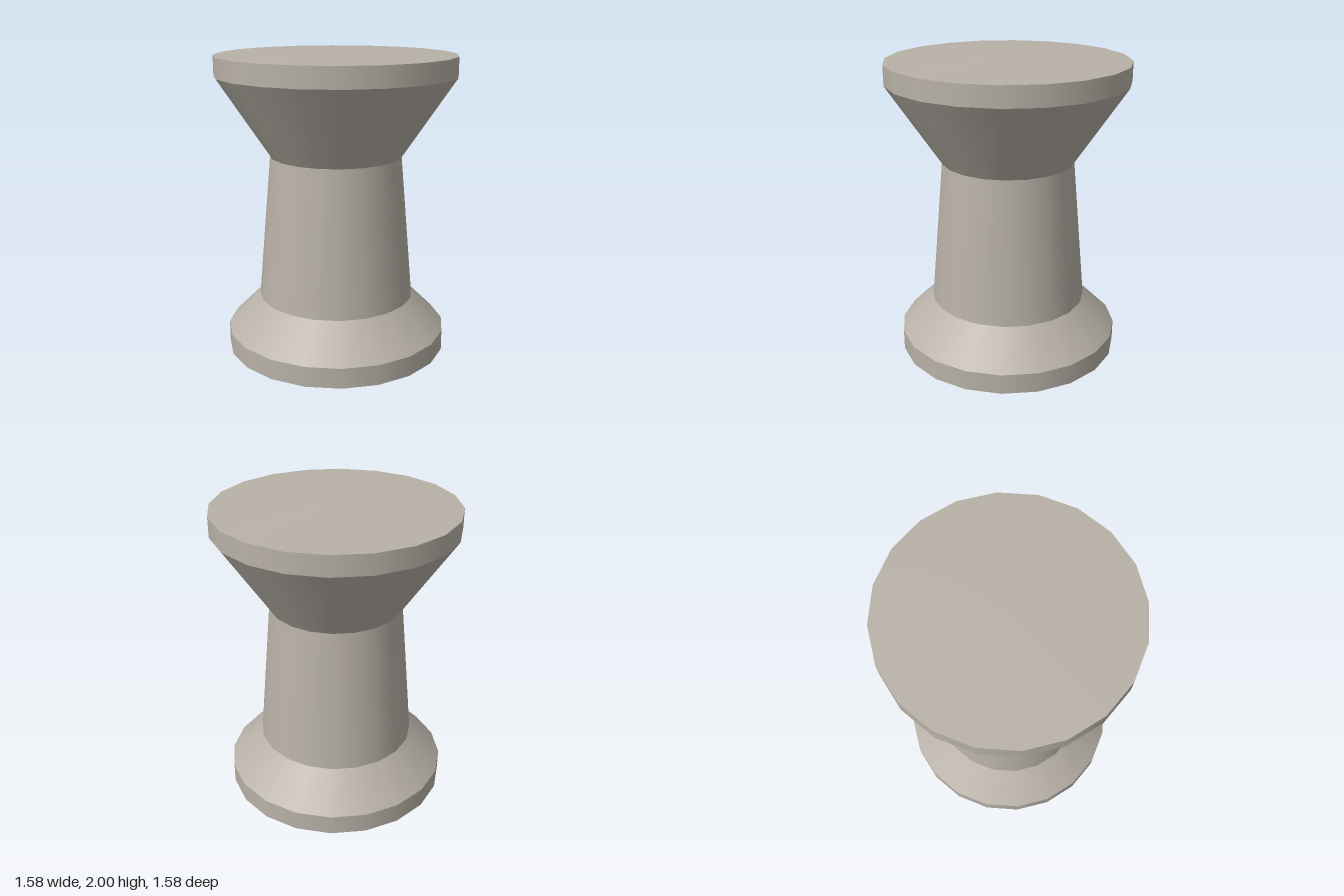
import * as THREE from 'three';

const SIDES = 20;

export function createModel() {
  const model = new THREE.Group();
  model.name = 'spool';
  const stone = new THREE.MeshStandardMaterial({ color: 0xb8b1a7 });
  stone.name = 'warm grey';

  const add = (name, geometry) => {
    const mesh = new THREE.Mesh(geometry, stone);
    mesh.name = name;
    model.add(mesh);
    return mesh;
  };

  // Open rings: smooth around, with a sharp edge where one meets the next
  const ring = (name, r0, y0, r1, y1) => {
    const geometry = new THREE.CylinderGeometry(r1, r0, y1 - y0, SIDES, 1, true);
    add(name, geometry).position.y = (y0 + y1) / 2;
  };
  ring('baseRim', 0.745, 0, 0.745, 0.135);
  ring('baseSlope', 0.745, 0.135, 0.525, 0.355);
  ring('stem', 0.525, 0.355, 0.438, 1.32);
  ring('headFlare', 0.438, 1.32, 0.79, 1.85);
  ring('headRim', 0.79, 1.85, 0.79, 1.98);

  // Slightly domed top
  add('headTop', new THREE.ConeGeometry(0.79, 0.02, SIDES, 1, true)).position.y = 1.99;

  // Flat underside, turned so its corners meet the base rim
  const underside = new THREE.CircleGeometry(0.745, SIDES);
  underside.rotateX(Math.PI / 2);
  add('underside', underside);

  return model;
}
